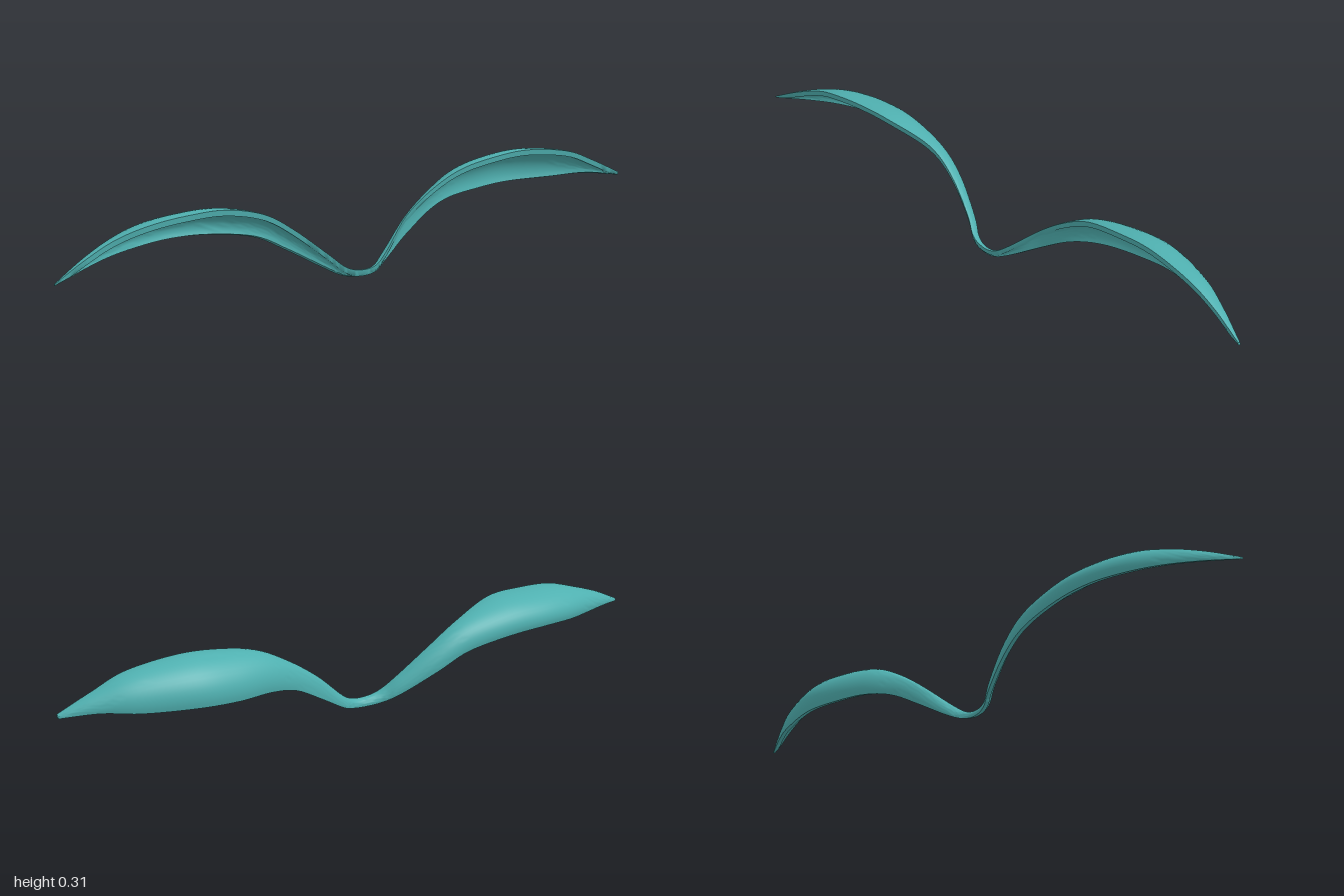
import * as THREE from 'three';
import { toCreasedNormals } from 'three/addons/utils/BufferGeometryUtils.js';

// Stations along the span: x, bottom y, top y, back z, front z
const STATIONS = [
  [-1, 0.14, 0.148, 0.008, 0.016], [-0.9, 0.155, 0.195, -0.035, 0.005],
  [-0.8, 0.165, 0.232, -0.075, -0.005], [-0.7, 0.17, 0.26, -0.105, 0.01],
  [-0.58, 0.175, 0.27, -0.118, 0.012], [-0.45, 0.17, 0.267, -0.11, 0.012],
  [-0.3, 0.145, 0.225, -0.085, 0.015 - 0.03], [-0.2, 0.095, 0.165, -0.06, -0.01],
  [-0.1, 0.035, 0.082, -0.015, 0.02], [-0.05, 0.008, 0.038, 0.017, 0.045],
  [0, 0, 0.025, 0.035, 0.056], [0.05, 0.005, 0.032, 0.036, 0.058],
  [0.1, 0.025, 0.065, 0.016, 0.045], [0.2, 0.085, 0.15, -0.008, 0.013],
  [0.3, 0.14, 0.22, -0.026, 0.015], [0.4, 0.165, 0.272, -0.05, 0.032],
  [0.52, 0.172, 0.297, -0.068, 0.048], [0.65, 0.18, 0.305, -0.062, 0.06],
  [0.8, 0.185, 0.285, -0.012, 0.08], [0.9, 0.193, 0.245, 0.042, 0.09],
  [1, 0.184, 0.195, 0.1, 0.11],
];
const ROWS = 120, ARC = 14, WALL = 0.018;

// Hooked shell section: over the top from the front rim, down the back
function section(lo, hi) {
  const w = hi.z - lo.z, h = hi.y - lo.y;
  const zc = hi.z - 0.12 * w, yc = lo.y + 0.22 * h;
  const rz = 0.88 * w, ry = 0.78 * h;
  const wall = Math.min(WALL, 0.85 * Math.min(rz, ry));
  const start = -0.137, end = Math.PI / 2 + 0.286;
  const ring = [];
  for (const inset of [0, wall]) {
    const side = [];
    for (let k = 0; k <= ARC; k++) {
      const t = start + (end - start) * k / ARC;
      side.push([lo.x, yc + (ry - inset) * Math.cos(t), zc - (rz - inset) * Math.sin(t)]);
    }
    ring.push(...(inset ? side.reverse() : side));
  }
  return ring;
}

function shellGeometry() {
  const spline = (y, z) => new THREE.CatmullRomCurve3(
    STATIONS.map(s => new THREE.Vector3(s[0], s[y], s[z])), false, 'catmullrom', 0.5);
  const low = spline(1, 3), high = spline(2, 4);
  const positions = [], index = [], n = 2 * (ARC + 1);
  for (let i = 0; i <= ROWS; i++) {
    const ring = section(low.getPoint(i / ROWS), high.getPoint(i / ROWS));
    ring.forEach(p => positions.push(...p));
    if (i === ROWS) break;
    for (let j = 0; j < n; j++) {
      const a = i * n + j, b = i * n + (j + 1) % n;
      index.push(a, a + n, b, b, a + n, b + n);
    }
  }
  // Close both tips, pairing outer and inner arc points
  for (let j = 0; j < ARC; j++) {
    const a = j, b = j + 1, c = n - 2 - j, d = n - 1 - j, e = ROWS * n;
    index.push(a, b, d, b, c, d);
    index.push(e + a, e + d, e + b, e + b, e + d, e + c);
  }
  const geometry = new THREE.BufferGeometry();
  geometry.setAttribute('position', new THREE.Float32BufferAttribute(positions, 3));
  geometry.setIndex(index);
  return toCreasedNormals(geometry, 0.9);
}

export function createModel() {
  const group = new THREE.Group();
  const material = new THREE.MeshStandardMaterial({ color: 0x4fb0b0, side: THREE.DoubleSide });
  const wings = new THREE.Mesh(shellGeometry(), material);
  wings.name = 'curvedWings';
  group.add(wings);
  return group;
}
